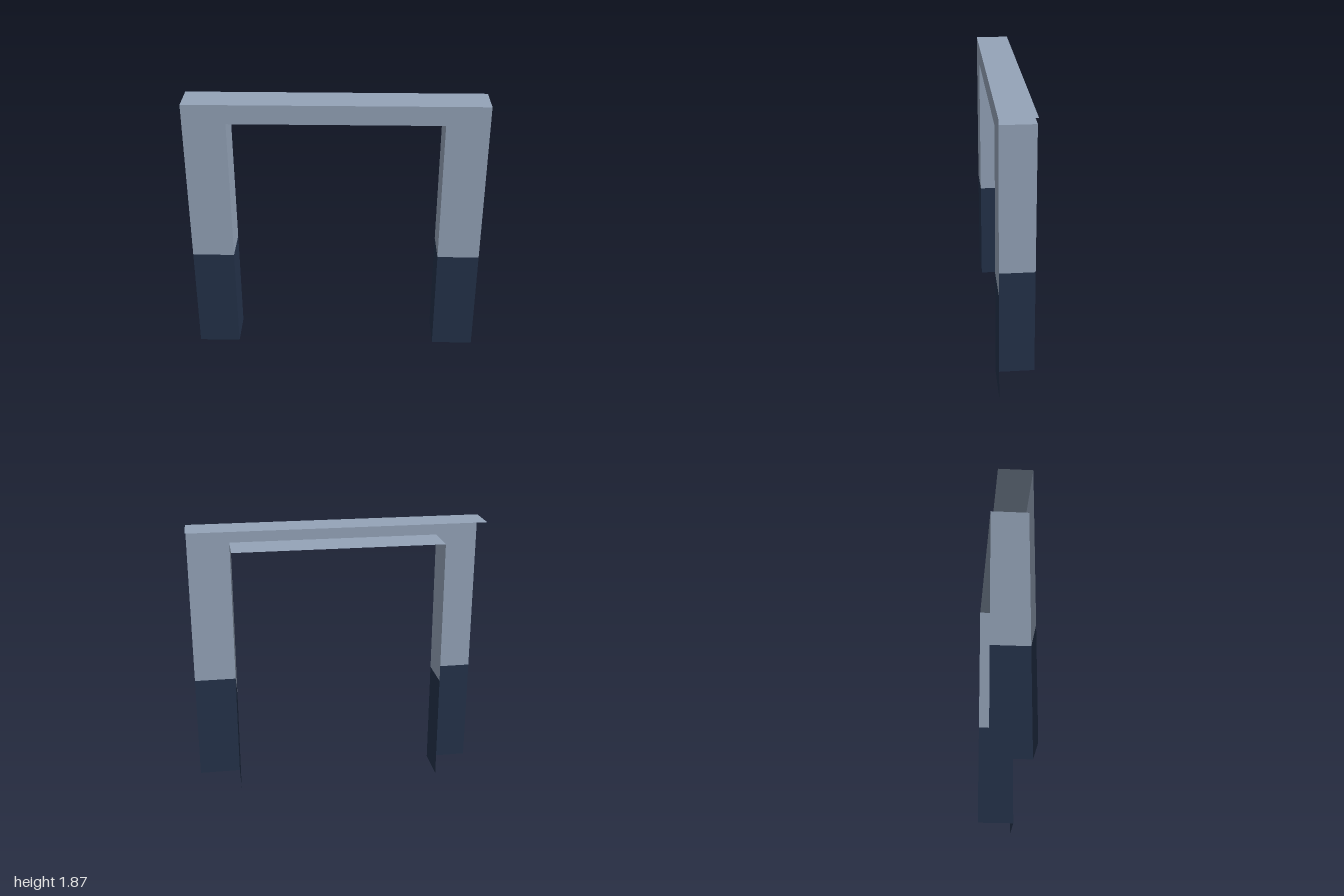
import * as THREE from 'three';

const light = new THREE.MeshStandardMaterial({ color: 0x94a3b8, side: THREE.DoubleSide });
const dark = new THREE.MeshStandardMaterial({ color: 0x24324a, side: THREE.DoubleSide });

const OUTER = 1, INNER = 0.713;           // half widths of frame and opening
const TOP = 1.87, HEAD = 1.738, BASE = 0.742; // frame top, opening top, plinth top
const FRONT = 0.13, BACK = -0.13, CAP_BACK = -0.1;

export function createModel() {
  const model = new THREE.Group();
  model.name = 'doorFrame';

  const add = (name, geometry, material, x, y, z) => {
    const mesh = new THREE.Mesh(geometry, material);
    mesh.name = name;
    mesh.position.set(x, y, z);
    model.add(mesh);
  };

  // Flat front face: an upside-down U above the plinths
  const face = new THREE.Shape([
    [-OUTER, BASE], [-INNER, BASE], [-INNER, HEAD], [INNER, HEAD],
    [INNER, BASE], [OUTER, BASE], [OUTER, TOP], [-OUTER, TOP],
  ].map(([x, y]) => new THREE.Vector2(x, y)));
  add('frontFace', new THREE.ShapeGeometry(face), light, 0, 0, FRONT);

  // Horizontal sheets: cap on top and soffit over the opening
  const sheet = (name, halfWidth, y, back) =>
    add(name, new THREE.PlaneGeometry(2 * halfWidth, FRONT - back).rotateX(-Math.PI / 2),
      light, 0, y, (FRONT + back) / 2);
  sheet('topCap', OUTER, TOP, CAP_BACK);
  sheet('soffit', INNER, HEAD, BACK);

  // Each side: dark plinth front, and a jamb lining the opening in two colours
  for (const [side, s] of [['left', 1], ['right', -1]]) {
    add(side + 'PlinthFront', new THREE.PlaneGeometry(OUTER - INNER, BASE), dark,
      s * (OUTER + INNER) / 2, BASE / 2, FRONT);
    const jamb = (name, y0, y1, material) =>
      add(side + name, new THREE.PlaneGeometry(FRONT - BACK, y1 - y0).rotateY(-s * Math.PI / 2),
        material, s * INNER, (y0 + y1) / 2, (FRONT + BACK) / 2);
    jamb('PlinthJamb', 0, BASE, dark);
    jamb('Jamb', BASE, HEAD, light);
  }

  return model;
}
